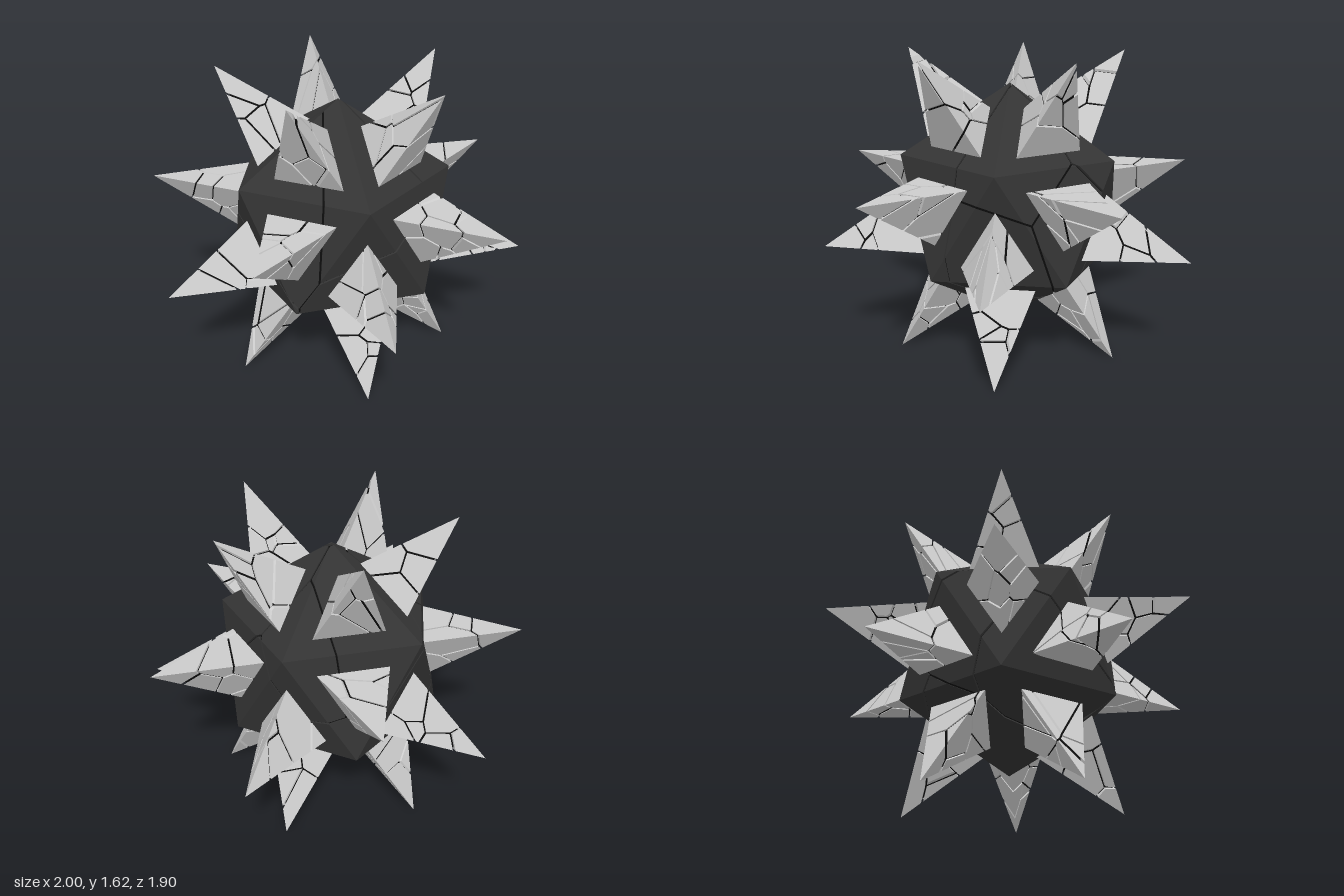
import * as THREE from 'three';
import { ConvexGeometry } from 'three/addons/geometries/ConvexGeometry.js';
import { mergeGeometries } from 'three/addons/utils/BufferGeometryUtils.js';

const CORE_RADIUS = 0.65, TIP_RADIUS = 1.018, BASE_SCALE = 0.53, CENTRE_Y = 0.809;
const GAP = 0.005, SKIN = 0.009;

let seed = 11;
const random = () => {
  seed = (seed * 16807) % 2147483647;
  return seed / 2147483647;
};

// Plane as { n, d } with n·p <= d on the side of the inside point
function planeThrough(a, b, c, inside) {
  const n = b.clone().sub(a).cross(c.clone().sub(a)).normalize();
  if (n.dot(inside) > n.dot(a)) n.negate();
  return { n, d: n.dot(a) };
}

const inset = (planes, amount) => planes.map(({ n, d }) => ({ n, d: d - amount }));

// Convex solid bounded by the given planes: corners are valid triple intersections
function solidFromPlanes(planes) {
  const corners = [];
  for (let i = 0; i < planes.length; i++)
    for (let j = i + 1; j < planes.length; j++)
      for (let k = j + 1; k < planes.length; k++) {
        const [a, b, c] = [planes[i], planes[j], planes[k]];
        const bc = b.n.clone().cross(c.n);
        const det = a.n.dot(bc);
        if (Math.abs(det) < 1e-5) continue;
        const p = bc.multiplyScalar(a.d)
          .addScaledVector(c.n.clone().cross(a.n), b.d)
          .addScaledVector(a.n.clone().cross(b.n), c.d)
          .divideScalar(det);
        if (planes.every(({ n, d }) => n.dot(p) <= d + 1e-6) &&
            corners.every((q) => q.distanceTo(p) > 1e-4)) corners.push(p);
      }
  return corners.length < 4 ? null : new ConvexGeometry(corners);
}

// Split a solid into cells around the seeds, with narrow cracks between them
function shatter(planes, seeds) {
  const pieces = seeds.map((p) => {
    const cuts = seeds.filter((q) => q !== p).map((q) => {
      const n = q.clone().sub(p).normalize();
      return { n, d: n.dot(p.clone().add(q).multiplyScalar(0.5)) - GAP };
    });
    return solidFromPlanes([...planes, ...cuts]);
  });
  return mergeGeometries(pieces.filter(Boolean));
}

// Triangles of an icosahedron standing on a vertex
function icosahedronFaces() {
  const ring = (y, turn) => Array.from({ length: 5 }, (_, k) => {
    const t = (k * 2 * Math.PI) / 5 + turn;
    return new THREE.Vector3(Math.cos(t) * 2, y, Math.sin(t) * 2).setLength(CORE_RADIUS);
  });
  const top = new THREE.Vector3(0, CORE_RADIUS, 0);
  const bottom = top.clone().negate();
  const upper = ring(1, 0), lower = ring(-1, Math.PI / 5);
  const faces = [];
  for (let k = 0; k < 5; k++) {
    const m = (k + 1) % 5;
    faces.push(
      [top, upper[k], upper[m]],
      [upper[k], upper[m], lower[k]],
      [lower[k], lower[m], upper[m]],
      [bottom, lower[k], lower[m]],
    );
  }
  return faces;
}

export function createModel() {
  const model = new THREE.Group();
  model.name = 'spikedBall';

  const stone = new THREE.MeshStandardMaterial({ color: 0xcccccc });
  const darkStone = new THREE.MeshStandardMaterial({ color: 0x333333 });
  const crack = new THREE.MeshStandardMaterial({ color: 0x0c0c0c });
  const add = (parent, name, geometry, material) => {
    const mesh = new THREE.Mesh(geometry, material);
    mesh.name = name;
    parent.add(mesh);
  };
  const addGroup = (name) => {
    const group = new THREE.Group();
    group.name = name;
    group.position.y = CENTRE_Y;
    model.add(group);
    return group;
  };

  const faces = icosahedronFaces();
  const origin = new THREE.Vector3();

  // Cracked dark core
  const corePlanes = faces.map(([a, b, c]) => planeThrough(a, b, c, origin));
  const coreSeeds = Array.from({ length: 12 }, () =>
    new THREE.Vector3(random() - 0.5, random() - 0.5, random() - 0.5)
      .setLength(0.35 + 0.25 * random()));
  const core = addGroup('core');
  add(core, 'coreShards', shatter(corePlanes, coreSeeds), darkStone);
  add(core, 'coreCracks', solidFromPlanes(inset(corePlanes, SKIN)), crack);

  // One cracked three-sided spike on each face of the core
  faces.forEach((face) => {
    const centre = face[0].clone().add(face[1]).add(face[2]).divideScalar(3);
    const tip = centre.clone().setLength(TIP_RADIUS);
    const base = face.map((v) => centre.clone().lerp(v, BASE_SCALE));
    const inside = centre.clone().lerp(tip, 0.2);
    const planes = [planeThrough(...base, inside)];
    for (let i = 0; i < 3; i++) planes.push(planeThrough(base[i], base[(i + 1) % 3], tip, inside));

    const seeds = Array.from({ length: 7 }, () => {
      const around = random() * 3, i = Math.floor(around);
      return base[i].clone().lerp(base[(i + 1) % 3], around - i)
        .lerp(centre, 0.3 * random())
        .lerp(tip, 0.65 * random());
    });

    const spike = addGroup('spike');
    add(spike, 'spikeShards', shatter(planes, seeds), stone);
    add(spike, 'spikeCracks', solidFromPlanes(inset(planes, SKIN)), crack);
  });

  return model;
}
